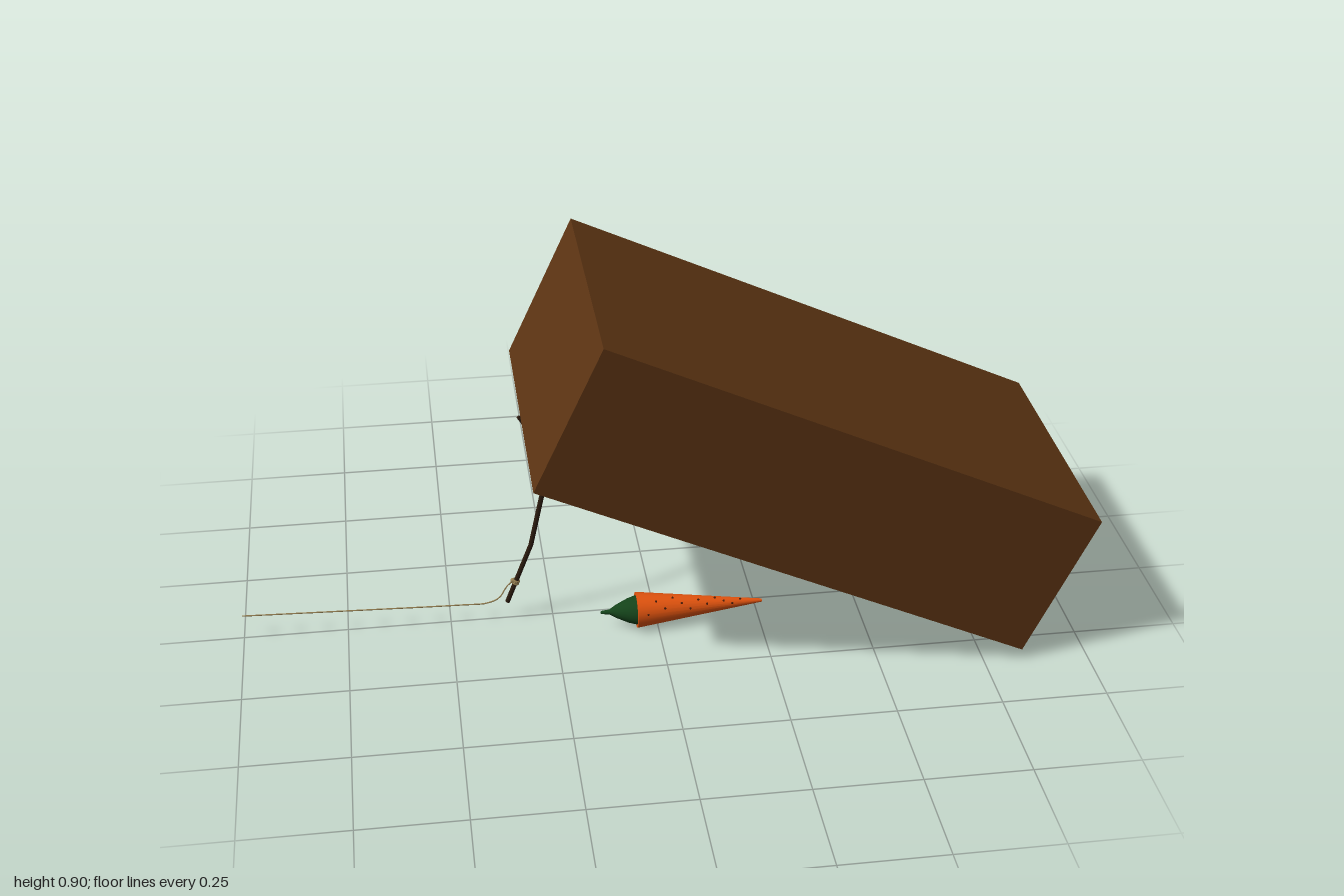
import * as THREE from 'three';

const mat = (color, side = THREE.FrontSide) =>
  new THREE.MeshStandardMaterial({ color, side });
const V = (x, y, z = 0) => new THREE.Vector3(x, y, z);

function add(parent, name, geometry, material) {
  const mesh = new THREE.Mesh(geometry, material);
  mesh.name = name;
  parent.add(mesh);
  return mesh;
}

// Tapered rod between two points
function rod(parent, name, a, b, r0, r1, material, sides = 8) {
  const dir = b.clone().sub(a);
  const mesh = add(parent, name, new THREE.CylinderGeometry(r1, r0, dir.length(), sides), material);
  mesh.position.copy(a).add(b).multiplyScalar(0.5);
  mesh.quaternion.setFromUnitVectors(V(0, 1), dir.normalize());
  return mesh;
}

// Upside-down crate, open underneath, tilted on its right edge
function makeCrate() {
  const L = 1.27, H = 0.38, W = 0.68, T = 0.018;
  const wood = mat(0x5c3413);
  const crate = new THREE.Group();
  crate.name = 'crate';
  const board = (name, sx, sy, sz, x, y, z) =>
    add(crate, name, new THREE.BoxGeometry(sx, sy, sz), wood).position.set(x, y, z);
  board('crateTop', L, T, W, 0, (H - T) / 2, 0);
  for (const s of [-1, 1]) {
    board('crateSide', L, H - T, T, 0, -T / 2, s * (W - T) / 2);
    board('crateEnd', T, H - T, W - 2 * T, s * (L - T) / 2, -T / 2, 0);
  }
  crate.position.set(0.344, 0.469, 0);
  crate.rotation.z = -0.433;
  return crate;
}

// Crooked prop stick with a small fork under the crate edge
function makeStick() {
  const bark = mat(0x2a1a0d);
  const stick = new THREE.Group();
  stick.name = 'propStick';
  const pts = [V(-0.36, 0.05), V(-0.298, 0.21), V(-0.263, 0.37), V(-0.303, 0.545)];
  for (let i = 0; i < 3; i++) {
    rod(stick, 'stickSegment', pts[i], pts[i + 1], 0.006, 0.006, bark);
    add(stick, 'stickJoint', new THREE.SphereGeometry(0.006, 8, 6), bark).position.copy(pts[i + 1]);
  }
  rod(stick, 'stickFork', pts[3], V(-0.318, 0.566), 0.006, 0.004, bark);
  rod(stick, 'stickFork', pts[3], V(-0.27, 0.548), 0.006, 0.004, bark);
  return stick;
}

// Pull string tied around the stick and trailing away
function makeString() {
  const twine = mat(0x9a8354);
  const string = new THREE.Group();
  string.name = 'pullString';
  const curve = new THREE.CatmullRomCurve3([
    V(-0.342, 0.112), V(-0.36, 0.095), V(-0.38, 0.063), V(-0.41, 0.05),
    V(-0.47, 0.05), V(-0.7, 0.057), V(-1, 0.067),
  ]);
  add(string, 'stringLine', new THREE.TubeGeometry(curve, 60, 0.0016, 6), twine);
  const axis = V(0.062, 0.16).normalize();
  for (let i = 0; i < 3; i++) {
    const loop = add(string, 'stringLoop', new THREE.TorusGeometry(0.0075, 0.0022, 6, 16), twine);
    loop.position.set(-0.338, 0.107, 0).addScaledVector(axis, (i - 1) * 0.004);
    loop.quaternion.setFromUnitVectors(V(0, 0, 1), axis);
  }
  add(string, 'stringKnot', new THREE.SphereGeometry(0.006, 10, 8), twine).position.set(-0.345, 0.111, 0);
  return string;
}

// Carrot lying along x, modelled upright along y and turned
function makeCarrot() {
  const carrot = new THREE.Group();
  carrot.name = 'carrot';
  const lathe = (pts) => new THREE.LatheGeometry(pts.map(p => new THREE.Vector2(...p)), 24);
  const len = 0.31, R = 0.044, tip = 0.004;
  add(carrot, 'carrotRoot', new THREE.CylinderGeometry(tip, R, len, 24), mat(0xe8560f))
    .position.y = len / 2;
  add(carrot, 'carrotLeaves', lathe([[0, -0.088], [0.004, -0.086], [0.006, -0.066],
    [0.016, -0.05], [0.03, -0.02], [0.036, 0]]), mat(0x14431a, THREE.DoubleSide)).scale.y = 1;

  // Small dark pits scattered over the upper front
  const pit = mat(0x4a1c08);
  for (let i = 0; i < 12; i++) {
    const y = 0.025 + i * 0.021;
    const r = R + (tip - R) * y / len;
    const a = 0.25 + 1.3 * ((i * 0.618) % 1);
    const spot = add(carrot, 'carrotPit', new THREE.SphereGeometry(0.0028, 8, 6), pit);
    spot.position.set(r * Math.sin(a), y, r * Math.cos(a));
  }
  carrot.rotation.z = -Math.PI / 2;
  // Local +x points down after turning, so roll the pits to the top
  const holder = new THREE.Group();
  holder.name = 'bait';
  carrot.children.filter(c => c.name === 'carrotPit').forEach(c => { c.position.x *= -1; });
  holder.add(carrot);
  holder.position.set(-0.052, 0.0475, 0.075);
  return holder;
}

export function createModel() {
  const model = new THREE.Group();
  model.name = 'boxTrap';
  model.add(makeCrate(), makeStick(), makeString(), makeCarrot());
  return model;
}
